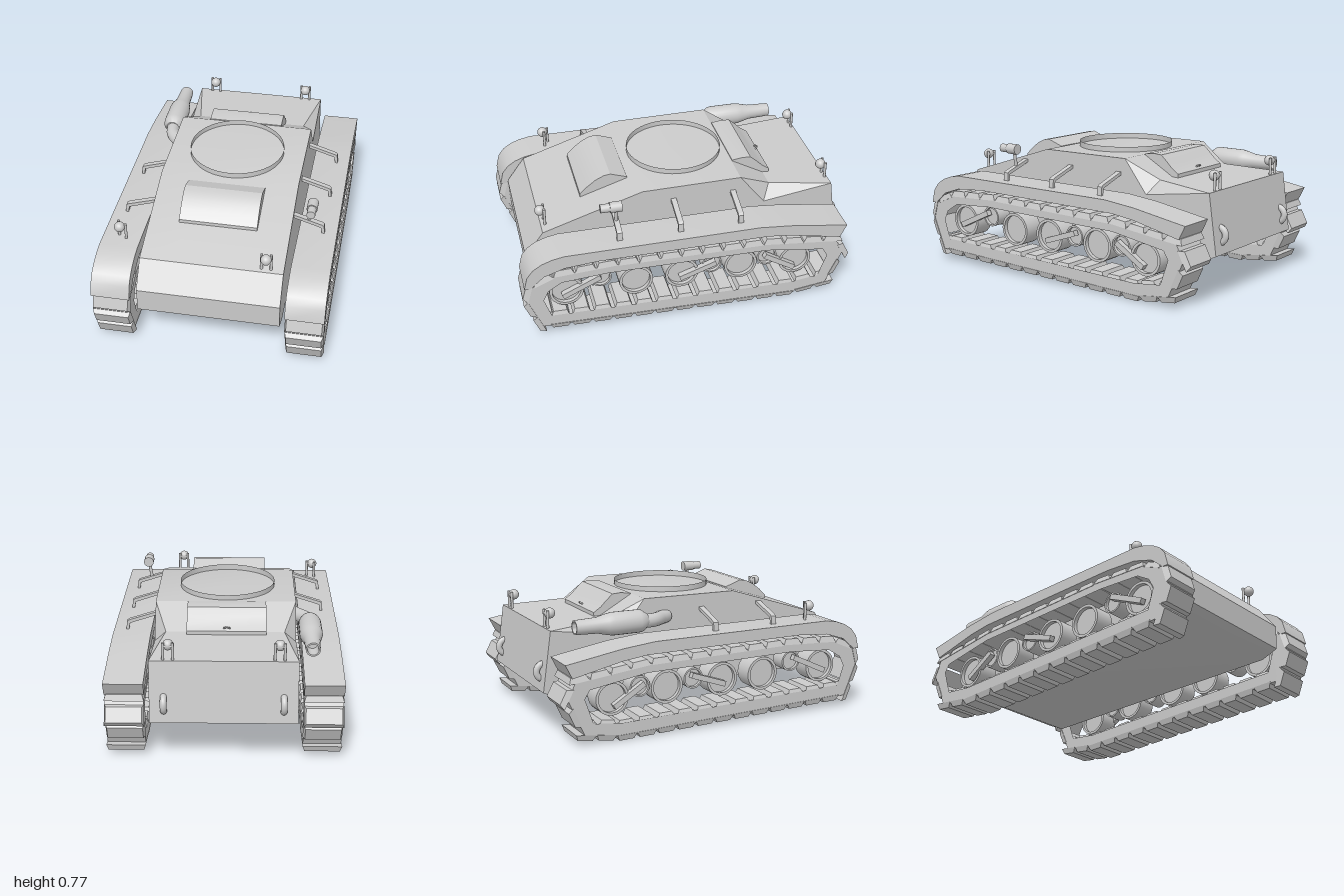
import * as THREE from 'three';
import { ConvexGeometry } from 'three/addons/geometries/ConvexGeometry.js';
import { toCreasedNormals } from 'three/addons/utils/BufferGeometryUtils.js';

const mat = new THREE.MeshStandardMaterial({ color: 0xcccccc });
const thin = new THREE.MeshStandardMaterial({ color: 0xcccccc, side: THREE.DoubleSide });
const V = (x, y, z) => new THREE.Vector3(x, y, z);

function add(parent, name, geo, m = mat) {
  const mesh = new THREE.Mesh(geo, m);
  mesh.name = name;
  parent.add(mesh);
  return mesh;
}

// Side profile of [z, y] points, extruded from x0 to x1, gentle bends smoothed
function slab(pts, x0, x1, hole) {
  const shape = new THREE.Shape(pts.map(p => new THREE.Vector2(...p)));
  if (hole) shape.holes.push(new THREE.Path(hole.map(p => new THREE.Vector2(...p))));
  const g = new THREE.ExtrudeGeometry(shape, { depth: x1 - x0, bevelEnabled: false });
  return toCreasedNormals(g.rotateY(-Math.PI / 2).translate(x1, 0, 0), 0.45);
}

// Turned part with crisp corners
function turned(pts, sides) {
  return toCreasedNormals(new THREE.LatheGeometry(pts.map(p => new THREE.Vector2(...p)), sides), 0.6);
}

// Straight round bar between two points
function bar(a, b, r, sides = 12) {
  const d = b.clone().sub(a);
  const g = new THREE.CylinderGeometry(r, r, d.length(), sides);
  g.applyQuaternion(new THREE.Quaternion().setFromUnitVectors(V(0, 1, 0), d.normalize()));
  const c = a.clone().add(b).multiplyScalar(0.5);
  return g.translate(c.x, c.y, c.z);
}

// Box whose top face shrinks by the factors sx and sz
function taperedBox(w, h, l, sx, sz) {
  const g = new THREE.BoxGeometry(w, h, l), p = g.attributes.position;
  for (let i = 0; i < p.count; i++) {
    if (p.getY(i) > 0) p.setXYZ(i, p.getX(i) * sx, p.getY(i), p.getZ(i) * sz);
  }
  g.computeVertexNormals();
  return g;
}

// Ball lamp held between two upright posts
function lamp(parent, name, x, base, z, height, turn = 0) {
  const g = new THREE.Group();
  g.name = name;
  g.position.set(x, base, z);
  g.rotation.y = turn;
  add(g, 'lampBall', new THREE.SphereGeometry(0.031, 16, 12).translate(0, height, 0.012));
  for (const s of [-1, 1]) add(g, 'lampPost', bar(V(s * 0.027, -0.02, -0.01), V(s * 0.027, height + 0.02, -0.01), 0.008));
  add(g, 'lampBracket', bar(V(-0.027, height, -0.01), V(0.027, height, -0.01), 0.007));
  parent.add(g);
}

function hull(root) {
  const W = 0.41;
  add(root, 'hullBody', slab([[0.83, 0.55], [0.94, 0.4], [0.935, 0.255], [0.83, 0.215], [-0.86, 0.205], [-0.975, 0.26],
    [-0.925, 0.61], [-0.5, 0.55], [-0.35, 0.742], [0.24, 0.738]], -W, W));
  // Rear slope and engine deck with tapered shoulders
  const both = pts => pts.flatMap(([x, y, z]) => [V(x, y, z), V(-x, y, z)]);
  add(root, 'rearSlope', new ConvexGeometry(both([[W, 0.742, -0.35], [0.34, 0.63, -0.55], [W, 0.55, -0.5], [W, 0.55, -0.35]])));
  add(root, 'engineDeck', new ConvexGeometry(both([[0.34, 0.63, -0.55], [W, 0.61, -0.925], [W, 0.55, -0.5]])));
  // Open ring on the roof
  add(root, 'roofRing', new THREE.CylinderGeometry(0.285, 0.285, 0.04, 48, 1, true).translate(-0.005, 0.752, -0.045), thin);
  // Raised hatches
  add(root, 'frontHatch', slab([[0.29, 0.7], [0.575, 0.61], [0.575, 0.652], [0.53, 0.695], [0.48, 0.733], [0.43, 0.757], [0.39, 0.763], [0.29, 0.728]], -0.235, 0.22));
  add(root, 'rearHatch', slab([[-0.355, 0.7], [-0.355, 0.745], [-0.42, 0.753], [-0.47, 0.75], [-0.51, 0.715], [-0.545, 0.68], [-0.59, 0.65], [-0.59, 0.6]], -0.235, 0.22));
  add(root, 'hatchHandle', new THREE.TorusGeometry(0.016, 0.005, 8, 16, Math.PI).rotateX(-0.9).translate(-0.01, 0.662, -0.573));
  // Tow hooks on the rear plate
  for (const s of [-1, 1]) {
    const hook = new THREE.TorusGeometry(0.045, 0.019, 10, 16, Math.PI).rotateZ(Math.PI / 2).rotateY(-Math.PI / 2);
    add(root, 'towHook', hook.translate(s * 0.33, 0.365, -0.94));
  }
}

function exhaust(root) {
  const path = new THREE.CatmullRomCurve3([V(-0.39, 0.625, -0.2), V(-0.425, 0.625, -0.25), V(-0.475, 0.628, -0.32), V(-0.49, 0.63, -0.41)]);
  add(root, 'exhaustElbow', new THREE.TubeGeometry(path, 16, 0.04, 16));
  const profile = [[0, 0.375], [0.04, 0.375], [0.062, 0.405], [0.066, 0.43], [0.066, 0.59], [0.06, 0.625], [0.046, 0.68], [0.041, 0.815], [0.032, 0.815], [0.032, 0.72], [0, 0.72]];
  add(root, 'exhaustMuffler', turned(profile, 24).rotateX(-Math.PI / 2).translate(-0.49, 0.635, 0), thin);
}

// Fender, track and wheels of one side (side is +1 or -1)
function runningGear(side) {
  const g = new THREE.Group();
  const width = 0.223, mid = side * 0.5535, x0 = mid - width / 2, x1 = mid + width / 2;
  add(g, 'fender', slab([[0.985, 0.36], [0.965, 0.44], [0.93, 0.485], [0.88, 0.518], [0.82, 0.54], [0.75, 0.553], [-0.4, 0.55], [-0.6, 0.53],
    [-0.94, 0.475], [-0.9, 0.395], [-0.6, 0.46], [-0.45, 0.478], [0.55, 0.485], [0.75, 0.47], [0.87, 0.43], [0.95, 0.36]], x0, x1));

  // Track belt
  const outer = [[0.978, 0.26], [0.9, 0.07], [-0.6, 0.028], [-0.83, 0.058], [-0.93, 0.28], [-0.88, 0.375], [-0.45, 0.425], [0.5, 0.44], [0.8, 0.425], [0.95, 0.36]];
  const inner = [[0.88, 0.26], [0.84, 0.14], [-0.6, 0.105], [-0.78, 0.125], [-0.83, 0.27], [-0.8, 0.32], [-0.45, 0.375], [0.5, 0.388], [0.77, 0.37], [0.85, 0.32]];
  add(g, 'trackBelt', slab(outer, x0 + 0.003, x1 - 0.003, inner));

  // Links: a tapered pad outside and a low rib inside
  const loop = new THREE.CurvePath();
  outer.forEach((p, i) => {
    const q = outer[(i + 1) % outer.length];
    loop.add(new THREE.LineCurve3(V(mid, p[1], p[0]), V(mid, q[1], q[0])));
  });
  const pad = taperedBox(width, 0.034, 0.122, 0.9, 0.72).translate(0, 0.009, 0);
  const rib = taperedBox(width - 0.01, 0.03, 0.105, 0.9, 0.75).rotateX(Math.PI).translate(0, -0.076, 0);
  const N = 34;
  for (let i = 0; i < N; i++) {
    const u = (i + 0.5) / N, t = loop.getTangentAt(u);
    const link = new THREE.Group();
    link.name = 'trackLink';
    link.position.copy(loop.getPointAt(u));
    link.rotation.x = Math.atan2(-t.y, t.z);
    add(link, 'trackPad', pad);
    if (link.position.y < 0.15) add(link, 'trackRib', rib);
    g.add(link);
  }

  // Road wheels and small rollers: flat discs set into a raised rim
  const wheel = (name, z, y, r, w) => {
    const geo = turned([[0, -w * 0.6], [r * 0.84, -w * 0.6], [r * 0.84, -w], [r, -w], [r, w], [r * 0.84, w], [r * 0.84, w * 0.6], [0, w * 0.6]], 28);
    add(g, name, geo.rotateZ(-Math.PI / 2).translate(mid, y, z), thin);
  };
  for (const [z, y] of [[0.74, 0.265], [0.33, 0.265], [0.055, 0.265], [-0.305, 0.265], [-0.645, 0.24]]) wheel('roadWheel', z, y, 0.1, 0.06);
  for (const [z, y] of [[0.535, 0.315], [-0.13, 0.29], [-0.47, 0.285]]) wheel('smallRoller', z, y, 0.062, 0.05);

  // Suspension arms across the outer faces
  for (const [z1, y1, z2, y2] of [[0.755, 0.24, 0.55, 0.335], [0.06, 0.24, -0.14, 0.31], [-0.46, 0.3, -0.63, 0.195]]) {
    const arm = new THREE.BoxGeometry(0.035, 0.032, Math.hypot(z2 - z1, y2 - y1) + 0.02);
    arm.rotateX(Math.atan2(y2 - y1, z1 - z2));
    add(g, 'suspensionArm', arm.translate(mid + side * 0.06, (y1 + y2) / 2, (z1 + z2) / 2));
  }
  return g;
}

// Bent bracket from the hull side down onto the fender
function strut(root, side, z) {
  const pts = [[0.4, 0.645], [0.57, 0.59], [0.578, 0.545], [0.593, 0.545], [0.588, 0.6], [0.575, 0.61], [0.4, 0.665]];
  const shape = new THREE.Shape(pts.map(([x, y]) => new THREE.Vector2(side * x, y)));
  add(root, 'fenderStrut', new THREE.ExtrudeGeometry(shape, { depth: 0.032, bevelEnabled: false }).translate(0, 0, z - 0.016));
}

export function createModel() {
  const root = new THREE.Group();
  root.name = 'trackedVehicle';
  hull(root);
  exhaust(root);

  for (const side of [1, -1]) {
    const gear = runningGear(side);
    gear.name = side > 0 ? 'leftRunningGear' : 'rightRunningGear';
    root.add(gear);
  }
  for (const z of [0.415, 0.055, -0.305]) strut(root, 1, z);
  for (const z of [0.415, 0.025]) strut(root, -1, z);

  // Lamps
  lamp(root, 'frontLampLeft', 0.31, 0.57, 0.815, 0.07);
  lamp(root, 'frontLampRight', -0.555, 0.56, 0.67, 0.075, -0.5);
  for (const s of [-1, 1]) lamp(root, 'rearLamp', s * 0.305, 0.61, -0.9, 0.08);

  // Side light on a slanted stalk
  add(root, 'sideLightStalk', bar(V(0.495, 0.615, 0.415), V(0.515, 0.73, 0.415), 0.01));
  add(root, 'sideLight', bar(V(0.515, 0.735, 0.45), V(0.515, 0.735, 0.51), 0.025, 20));
  add(root, 'sideLightRim', bar(V(0.515, 0.735, 0.385), V(0.515, 0.735, 0.455), 0.031, 20));
  return root;
}
